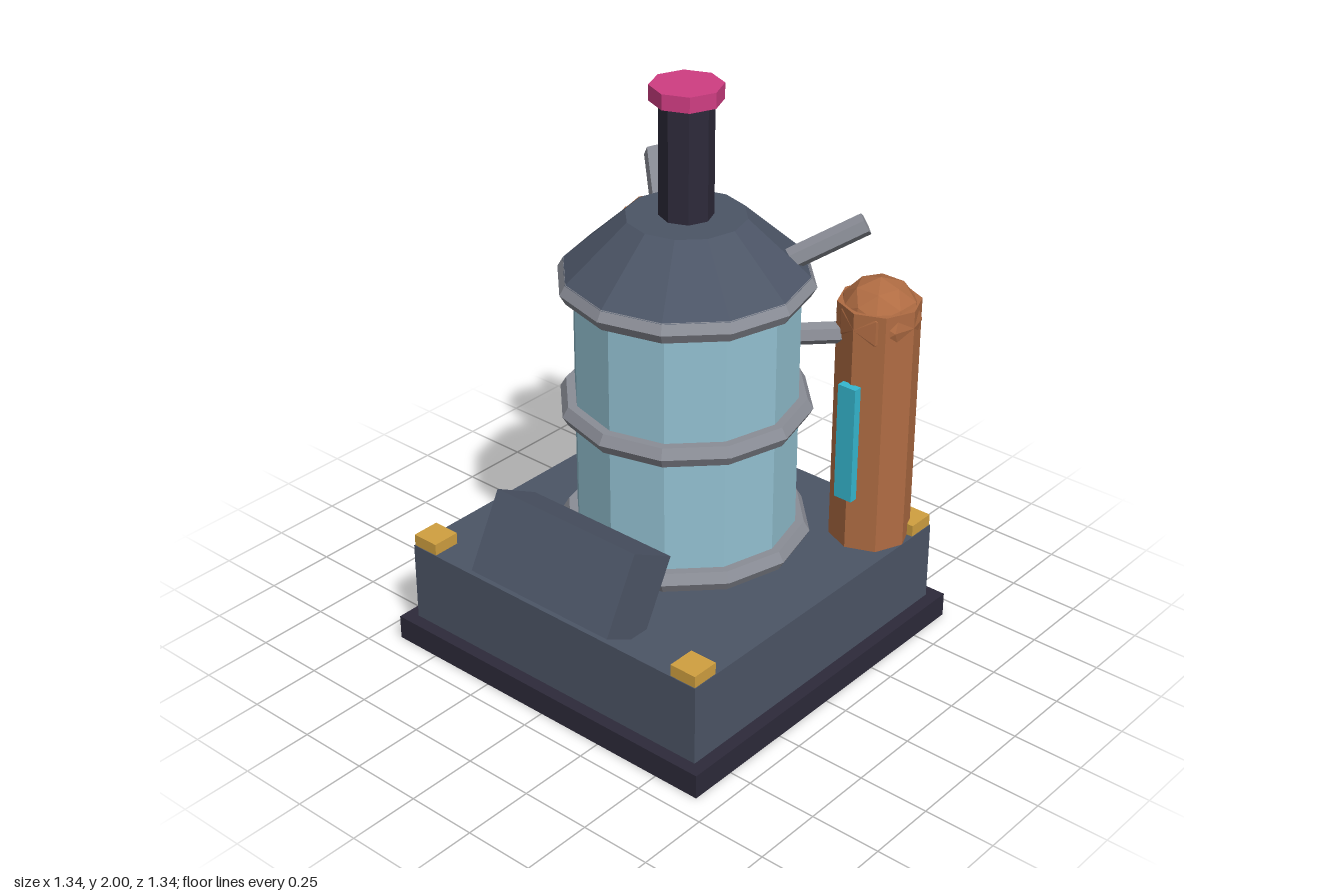
import * as THREE from 'three';

export function createModel() {
  const root = new THREE.Group();
  root.name = 'boilerMachine';

  const material = (name, color) => {
    const m = new THREE.MeshStandardMaterial({ color, flatShading: true });
    m.name = name;
    return m;
  };
  const slate = material('slate', 0x4c5566);
  const dark = material('darkIron', 0x2d2a3a);
  const glass = material('paleBlue', 0x92c0d0);
  const steel = material('steelGrey', 0x8a8d96);
  const copper = material('copper', 0xb06c43);
  const pink = material('pink', 0xcf3d82);
  const gold = material('gold', 0xd0a040);
  const cyan = material('cyan', 0x35b8d0);

  const add = (name, geometry, mat, x, y, z) => {
    const mesh = new THREE.Mesh(geometry, mat);
    mesh.name = name;
    mesh.position.set(x, y, z);
    root.add(mesh);
    return mesh;
  };
  const box = (name, mat, w, h, d, x, y, z) =>
    add(name, new THREE.BoxGeometry(w, h, d), mat, x, y, z);
  // upright cylinder given by its bottom and top heights
  const drum = (name, mat, rTop, rBottom, y0, y1, sides, x, z) =>
    add(name, new THREE.CylinderGeometry(rTop, rBottom, y1 - y0, sides), mat, x, (y0 + y1) / 2, z);
  // straight six-sided pipe between two points
  const pipe = (name, a, b, r) => {
    const from = new THREE.Vector3(...a), to = new THREE.Vector3(...b);
    const dir = to.clone().sub(from);
    const mid = from.clone().add(to).multiplyScalar(0.5);
    const mesh = add(name, new THREE.CylinderGeometry(r, r, dir.length(), 6), steel, mid.x, mid.y, mid.z);
    mesh.quaternion.setFromUnitVectors(new THREE.Vector3(0, 1, 0), dir.normalize());
  };

  // Base
  box('basePlate', dark, 1.34, 0.087, 1.34, 0, 0.0435, 0);
  box('baseBody', slate, 1.25, 0.29, 1.25, 0, 0.23, 0);

  // Tank, roof and chimney
  const tz = -0.06;
  drum('tank', glass, 0.378, 0.378, 0.37, 1.36, 12, 0, tz);
  drum('tankRoof', slate, 0.2, 0.41, 1.367, 1.557, 12, 0, tz);
  drum('chimney', dark, 0.09, 0.09, 1.55, 1.95, 8, 0, tz);
  drum('chimneyCap', pink, 0.12, 0.12, 1.947, 2, 8, 0, tz);

  // Hoops around the tank
  for (const y of [0.415, 0.89, 1.335]) {
    const hoop = add('tankHoop', new THREE.TorusGeometry(0.388, 0.04, 6, 12), steel, 0, y, tz);
    hoop.rotation.x = Math.PI / 2;
  }

  // Sloped console at the front
  const console_ = box('console', slate, 0.6, 0.285, 0.195, 0, 0.515, 0.517);
  console_.rotation.x = -0.49;

  for (const s of [-1, 1]) {
    // Copper columns with faceted domes and gauge plates
    const cx = s * 0.485, cz = -0.46;
    drum('column', copper, 0.14, 0.14, 0.37, 1.26, 8, cx, cz);
    add('columnDome', new THREE.IcosahedronGeometry(0.14, 1), copper, cx, 1.2, cz);
    box('gaugePlate', cyan, 0.07, 0.425, 0.03, cx, 0.788, -0.312);

    // Pipes: tank to column, and roof vent
    pipe('feedPipe', [s * 0.25, 1.145, -0.22], [cx, 1.145, cz], 0.037);
    pipe('roofVent', [s * 0.25, 1.395, -0.235], [s * 0.448, 1.533, -0.418], 0.038);

    // Corner blocks
    for (const z of [-0.572, 0.572])
      box('cornerBlock', gold, 0.1, 0.07, 0.1, s * 0.572, 0.382, z);
  }

  return root;
}
